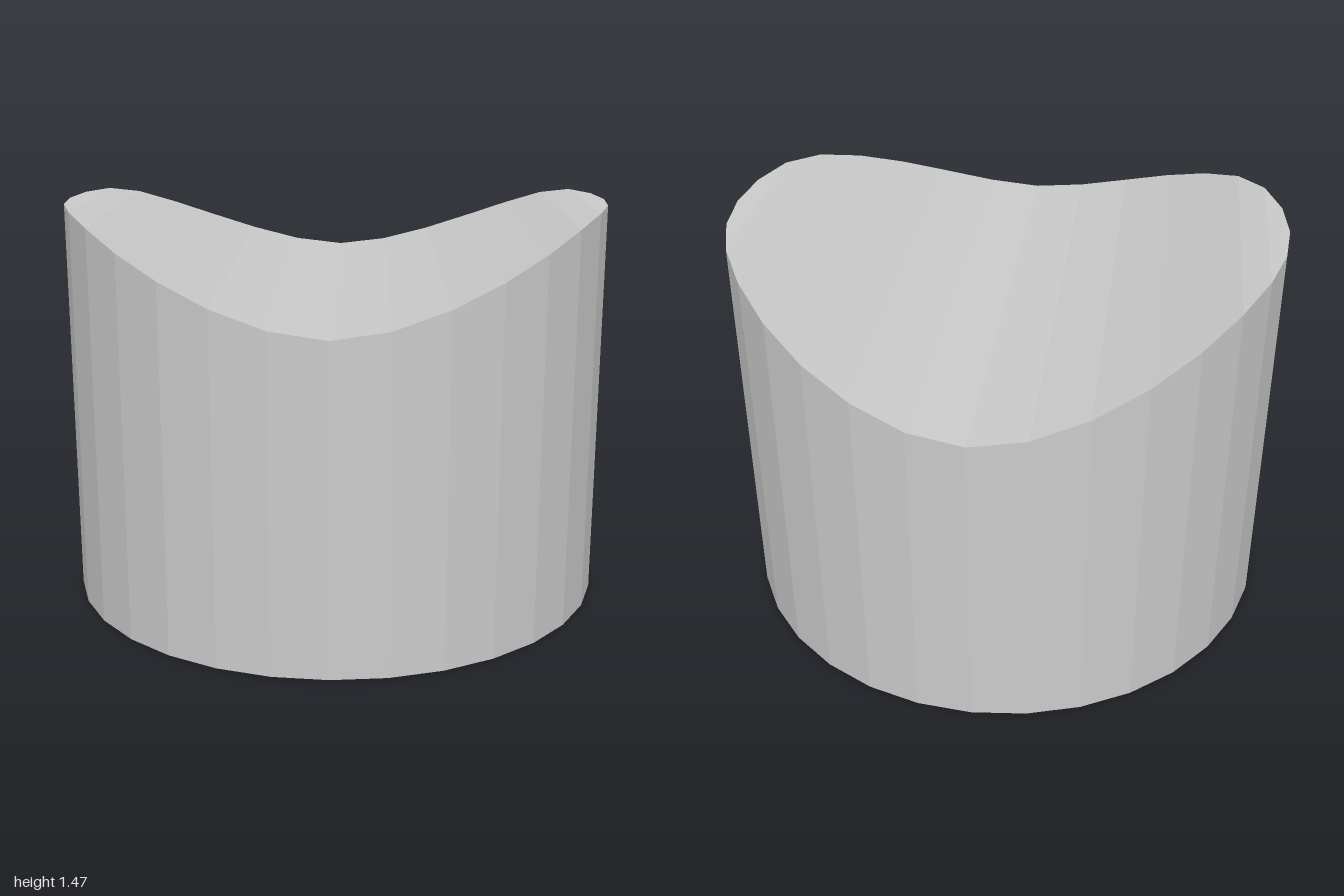
import * as THREE from 'three';

const SIDES = 32;
const NICHE_START = 7;              // the niche spans the two panels meeting at +x
const SILL = 0.05;
const HEAD = [0.33, 0.42, 0.355];   // eave, peak, eave
const INSET = 0.945;                // radius of the niche's back wall
// rim height from the middle (x = 0) out to x = 1, one value per column
const RIM = [1.147, 1.173, 1.23, 1.3, 1.37, 1.43, 1.462, 1.467, 1.467];

// point on column k at height y
function at(k, y, r = 1) {
  const a = (k / SIDES) * Math.PI * 2;
  return [r * Math.sin(a), y, r * Math.cos(a)];
}

function rim(k) {
  const m = ((k % 16) + 16) % 16;
  return RIM[Math.min(m, 16 - m)];
}

// flat-shaded mesh from quads whose corners run counter-clockwise
function quadMesh(name, quads) {
  const pos = [];
  for (const [a, b, c, d] of quads) pos.push(...a, ...b, ...c, ...a, ...c, ...d);
  const geo = new THREE.BufferGeometry();
  geo.setAttribute('position', new THREE.Float32BufferAttribute(pos, 3));
  geo.computeVertexNormals();
  const mesh = new THREE.Mesh(geo, new THREE.MeshStandardMaterial({ color: 0xcccccc, flatShading: true }));
  mesh.name = name;
  return mesh;
}

export function createModel() {
  const group = new THREE.Group();
  group.name = 'saddleToppedDrum';

  // outer wall, left open at the niche
  const wall = [];
  const panel = (k, y0, y1, z0, z1, r) => [at(k, y0, r), at(k + 1, y1, r), at(k + 1, z1, r), at(k, z0, r)];
  for (let k = 0; k < SIDES; k++) {
    const i = k - NICHE_START;
    if (i === 0 || i === 1) {
      wall.push(panel(k, 0, 0, SILL, SILL));
      wall.push(panel(k, HEAD[i], HEAD[i + 1], rim(k), rim(k + 1)));
    } else {
      wall.push(panel(k, 0, 0, rim(k), rim(k + 1)));
    }
  }
  group.add(quadMesh('outerWall', wall));

  // saddle roof: strips running front to back, from -x to +x
  const roof = [];
  for (let k = -8; k < 8; k++) {
    const a = at(k, rim(k)), b = at(k + 1, rim(k + 1));
    roof.push([a, b, [b[0], b[1], -b[2]], [a[0], a[1], -a[2]]]);
  }
  group.add(quadMesh('saddleRoof', roof));

  // underside
  const base = new THREE.Mesh(
    new THREE.CircleGeometry(1, SIDES).rotateX(Math.PI / 2),
    new THREE.MeshStandardMaterial({ color: 0xcccccc, flatShading: true })
  );
  base.name = 'base';
  group.add(base);

  // shallow gabled niche: back wall, sill, head and jambs
  const niche = [];
  for (let i = 0; i < 2; i++) {
    const k = NICHE_START + i, h0 = HEAD[i], h1 = HEAD[i + 1];
    niche.push(panel(k, SILL, SILL, h0, h1, INSET));
    niche.push([at(k, SILL), at(k + 1, SILL), at(k + 1, SILL, INSET), at(k, SILL, INSET)]);
    niche.push([at(k, h0, INSET), at(k + 1, h1, INSET), at(k + 1, h1), at(k, h0)]);
  }
  const s = NICHE_START, e = s + 2;
  niche.push([at(s, SILL), at(s, SILL, INSET), at(s, HEAD[0], INSET), at(s, HEAD[0])]);
  niche.push([at(e, SILL, INSET), at(e, SILL), at(e, HEAD[2]), at(e, HEAD[2], INSET)]);
  group.add(quadMesh('niche', niche));

  return group;
}
